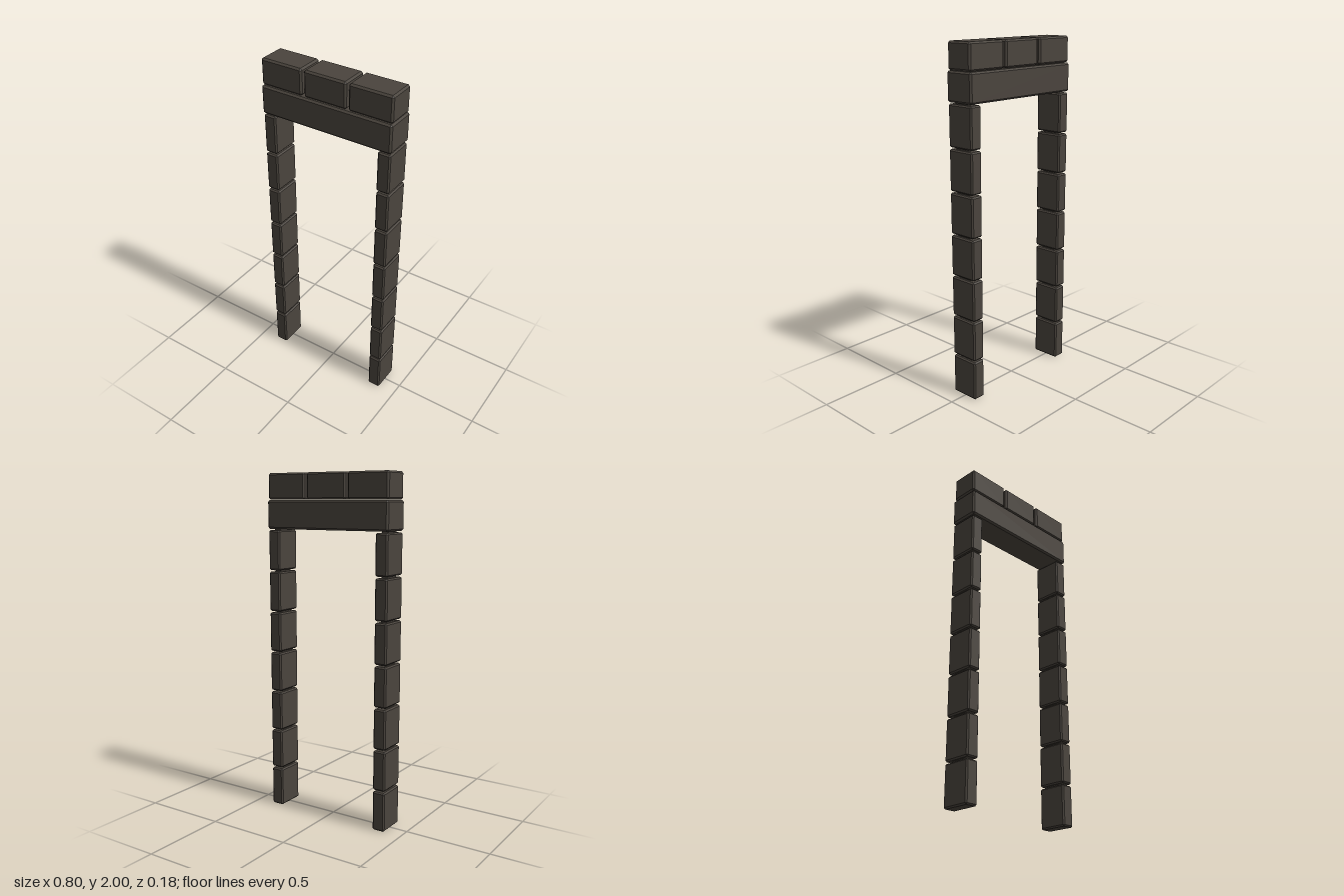
import * as THREE from 'three';
import { ConvexGeometry } from 'three/addons/geometries/ConvexGeometry.js';

const stone = new THREE.MeshStandardMaterial({ color: 0x4a443d });
stone.name = 'dark stone';

// Box with every edge and corner cut off by c
function chamferedBox(w, h, d, c) {
  const points = [];
  for (const sx of [-1, 1]) for (const sy of [-1, 1]) for (const sz of [-1, 1]) {
    const x = w / 2, y = h / 2, z = d / 2;
    points.push(
      new THREE.Vector3(sx * x, sy * (y - c), sz * (z - c)),
      new THREE.Vector3(sx * (x - c), sy * y, sz * (z - c)),
      new THREE.Vector3(sx * (x - c), sy * (y - c), sz * z)
    );
  }
  return new ConvexGeometry(points);
}

function add(parent, name, geometry, x, y, z = 0) {
  const mesh = new THREE.Mesh(geometry, stone);
  mesh.name = name;
  mesh.position.set(x, y, z);
  parent.add(mesh);
}

export function createModel() {
  const model = new THREE.Group();
  model.name = 'stoneDoorFrame';

  // Pillars: seven stacked blocks, joined by narrow mortar pieces
  const pitch = 0.241, blockHeight = 0.231, pillarX = 0.359;
  const pillarBlock = chamferedBox(0.076, blockHeight, 0.171, 0.008);
  const pillarMortar = new THREE.BoxGeometry(0.04, 0.03, 0.09);
  for (const side of [-1, 1]) {
    const pillar = new THREE.Group();
    pillar.name = side > 0 ? 'leftPillar' : 'rightPillar';
    for (let i = 0; i < 7; i++) {
      const y = i * pitch + blockHeight / 2;
      add(pillar, 'pillarBlock', pillarBlock, side * pillarX, y);
      add(pillar, 'pillarMortar', pillarMortar, side * pillarX, y + pitch / 2);
    }
    model.add(pillar);
  }

  // Lintel across both pillars
  add(model, 'lintel', chamferedBox(0.8, 0.164, 0.18, 0.01), 0, 1.767);

  // Top course: three blocks with recessed mortar between them
  const topCourse = new THREE.Group();
  topCourse.name = 'topCourse';
  const topBlock = chamferedBox(0.256, 0.149, 0.165, 0.01);
  for (const i of [-1, 0, 1]) add(topCourse, 'topBlock', topBlock, i * 0.27, 1.9255);
  const topMortar = new THREE.BoxGeometry(0.03, 0.08, 0.09);
  for (const side of [-1, 1]) add(topCourse, 'topMortar', topMortar, side * 0.135, 1.9255);
  model.add(topCourse);

  return model;
}
